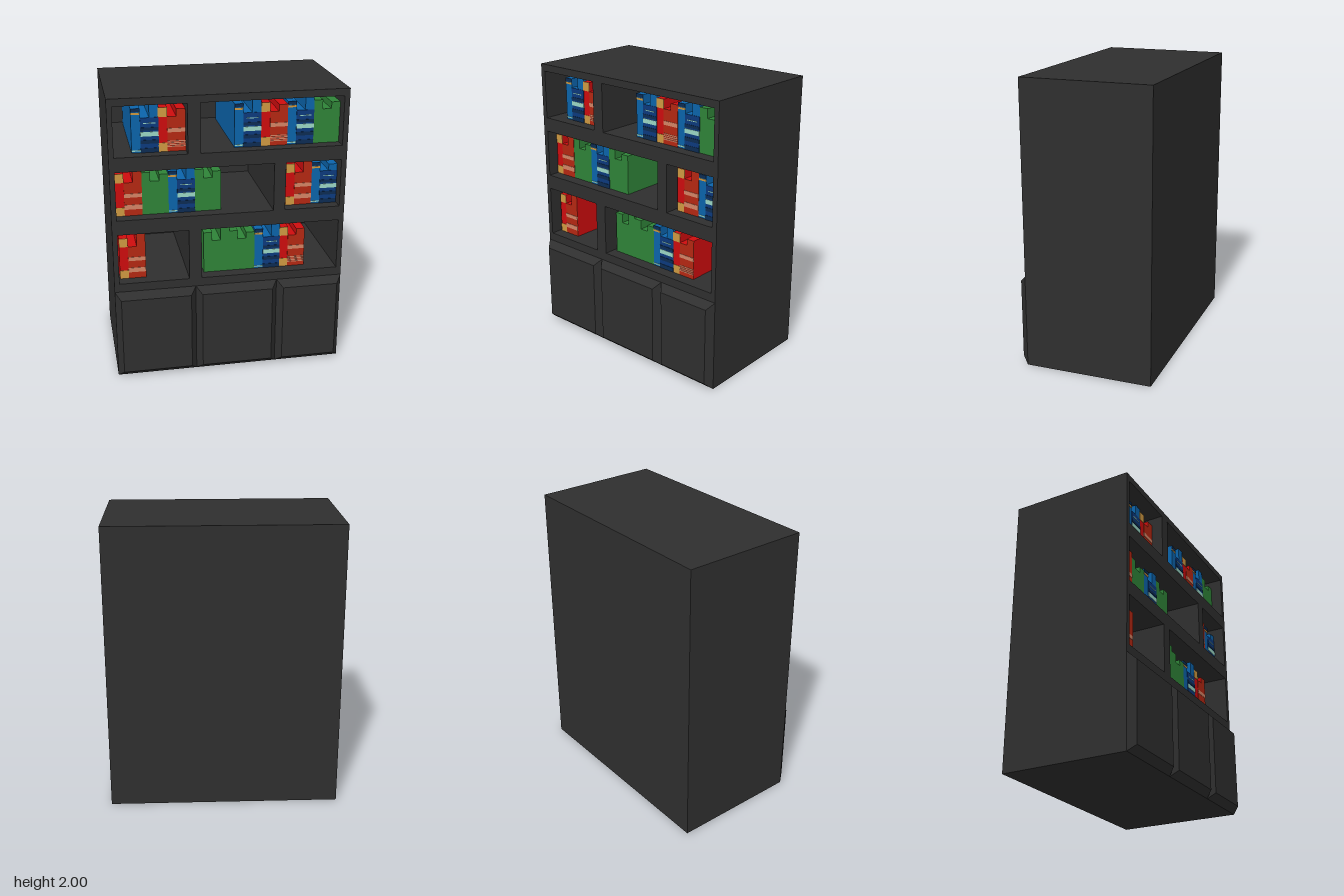
import * as THREE from 'three';

const mat = (name, color) => {
  const m = new THREE.MeshStandardMaterial({ color });
  m.name = name;
  return m;
};

export function createModel() {
  const M = {
    charcoal: mat('charcoal', 0x2f2f2f),
    blue: mat('blue', 0x0b64ab),
    navy: mat('navy', 0x0c3a7e),
    darkNavy: mat('darkNavy', 0x0c2c54),
    mint: mat('mint', 0x9cd8c6),
    gold: mat('gold', 0xd09a42),
    red: mat('red', 0xcf0c0e),
    brick: mat('brick', 0xb62812),
    salmon: mat('salmon', 0xd68566),
    green: mat('green', 0x2f8438),
  };
  const root = new THREE.Group();
  root.name = 'bookcase';

  const FRONT = 0.425, BACK = -0.475, INNER = -0.405;
  const BOOK_FRONT = 0.34, BOOK_BACK = -0.36;

  // Box given by its min and max corners
  const box = (parent, name, m, x0, x1, y0, y1, z0, z1) => {
    const mesh = new THREE.Mesh(new THREE.BoxGeometry(x1 - x0, y1 - y0, z1 - z0), m);
    mesh.position.set((x0 + x1) / 2, (y0 + y1) / 2, (z0 + z1) / 2);
    mesh.name = name;
    parent.add(mesh);
    return mesh;
  };
  const rect = (path, x0, x1, y0, y1) =>
    path.moveTo(x0, y0).lineTo(x1, y0).lineTo(x1, y1).lineTo(x0, y1).closePath();

  // Carcass with six open compartments
  const outline = new THREE.Shape();
  rect(outline, -0.8, 0.8, 0, 2);
  const compartments = [
    [-0.765, -0.283, 1.61, 1.95], [-0.197, 0.764, 1.61, 1.95],
    [-0.765, 0.3, 1.173, 1.51], [0.38, 0.764, 1.173, 1.51],
    [-0.765, -0.283, 0.71, 1.07], [-0.197, 0.764, 0.71, 1.07],
  ];
  for (const c of compartments) {
    const hole = new THREE.Path();
    rect(hole, ...c);
    outline.holes.push(hole);
  }
  const carcass = new THREE.Mesh(
    new THREE.ExtrudeGeometry(outline, { depth: FRONT - INNER, bevelEnabled: false }), M.charcoal);
  carcass.position.z = INNER;
  carcass.name = 'carcass';
  root.add(carcass);
  box(root, 'backPanel', M.charcoal, -0.8, 0.8, 0, 2, BACK, INNER);

  // Cupboard doors with bevelled edges
  const door = (x0, x1) => {
    const mesh = box(root, 'door', M.charcoal, x0, x1, 0, 0.65, FRONT, 0.475);
    const p = mesh.geometry.attributes.position;
    for (let i = 0; i < p.count; i++) {
      if (p.getZ(i) < 0) continue;
      p.setX(i, p.getX(i) - Math.sign(p.getX(i)) * 0.039);
      p.setY(i, p.getY(i) - Math.sign(p.getY(i)) * 0.046);
    }
    mesh.geometry.computeVertexNormals();
  };
  door(-0.8, -0.24);
  door(-0.24, 0.333);
  door(0.333, 0.8);

  // A set of three books; the last one varies in height
  const W = 0.06, MID = 0.235, TALL = 0.298;
  const bookSet = (kind, x, y, lastHeight) => {
    const set = new THREE.Group();
    set.name = kind + 'Books';
    set.position.set(x, y, 0);
    root.add(set);
    [TALL, MID, lastHeight].forEach((h, i) =>
      box(set, 'book', M[kind], i * W, (i + 1) * W, 0, h, BOOK_BACK, BOOK_FRONT));
    // Thin plates on the spines
    const plate = (name, m, x0, x1, y0, y1, layer = 1) =>
      box(set, name, m, x0, x1, y0, y1, BOOK_FRONT, BOOK_FRONT + 0.003 * layer);

    if (kind === 'red') {
      plate('spineTop', M.gold, 0, W, MID, TALL);
      plate('spineFoot', M.gold, 0, W, 0, 0.06);
      plate('spine', M.brick, W, 2 * W, 0, MID);
      plate('spine', M.brick, 2 * W, 3 * W, 0, lastHeight);
      plate('band', M.salmon, W, 3 * W, 0.13, 0.157, 2);
      if (lastHeight < 0.3) {
        for (let i = 0; i < 4; i++)
          plate('stripe', M.salmon, W, 3 * W, 0.03 + i * 0.012, 0.037 + i * 0.012, 2);
      } else {
        plate('band', M.salmon, W, 3 * W, 0.045, 0.078, 2);
      }
    }
    if (kind === 'blue') {
      plate('spineCap', M.darkNavy, 0, W, 0.275, TALL);
      plate('spineRing', M.gold, 0, W, 0.257, 0.27);
      plate('spineFoot', M.mint, 0, W, 0.01, 0.018);
      plate('spine', M.navy, W, 3 * W, 0, MID);
      plate('band', M.darkNavy, W, 3 * W, 0.15, 0.17, 2);
      plate('band', M.darkNavy, W, 3 * W, 0.06, 0.085, 2);
      plate('band', M.darkNavy, W, 3 * W, 0, 0.03, 2);
      plate('label', M.mint, W, 3 * W, 0.11, 0.14, 2);
      plate('line', M.mint, W + 0.02, 3 * W - 0.02, 0.196, 0.201, 2);
    }
  };

  const shelves = [
    [1.61, [['blue', -0.642, 0.32], ['red', -0.465, 0.285], ['blue', 0.042, 0.335],
      ['red', 0.223, 0.28], ['blue', 0.403, 0.335], ['green', 0.583, 0.28]]],
    [1.173, [['red', -0.764, 0.33], ['green', -0.586, 0.28], ['blue', -0.407, 0.33],
      ['green', -0.228, 0.28], ['red', 0.403, 0.315], ['blue', 0.583, 0.28]]],
    [0.71, [['red', -0.753, 0.335], ['green', -0.17, 0.335], ['green', 0.01, 0.28],
      ['blue', 0.19, 0.335], ['red', 0.368, 0.28]]],
  ];
  for (const [y, sets] of shelves)
    for (const [kind, x, h] of sets) bookSet(kind, x, y, h);

  return root;
}
